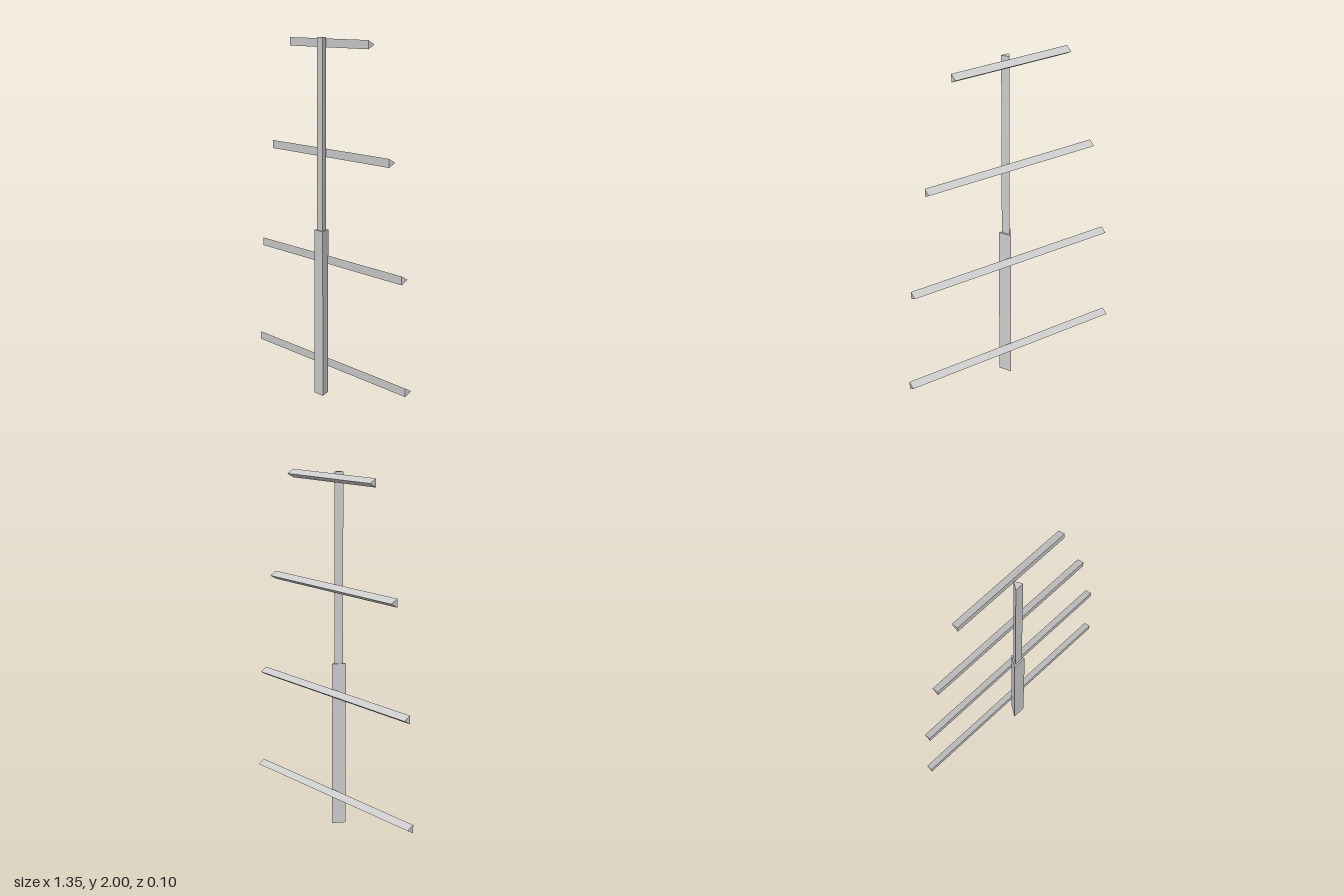
import * as THREE from 'three';

const material = new THREE.MeshStandardMaterial({ color: 0xcccccc, flatShading: true });

// Triangular bar along y: one edge points to the back, one flat side to the front
function triangularBar(name, radius, length) {
  const geometry = new THREE.CylinderGeometry(radius, radius, length, 3, 1, false, Math.PI);
  const mesh = new THREE.Mesh(geometry, material);
  mesh.name = name;
  return mesh;
}

export function createModel() {
  const group = new THREE.Group();
  group.name = 'mastWithCrossbars';

  // Thick lower mast and thin upper mast on one axis
  const split = 0.943, mastZ = 0.028;
  const lower = triangularBar('lowerMast', 0.045, split);
  lower.position.set(0, split / 2, mastZ);
  const upper = triangularBar('upperMast', 0.028, 2 - split);
  upper.position.set(0, (2 + split) / 2, mastZ);
  group.add(lower, upper);

  // Crossbars behind the mast, shorter towards the top: [height, length]
  const bars = [[0.18, 1.35], [0.772, 1.274], [1.37, 1.054], [1.968, 0.704]];
  bars.forEach(([y, length], i) => {
    const bar = triangularBar(`crossbar${i + 1}`, 0.027, length);
    bar.rotation.z = Math.PI / 2;
    bar.position.set(0, y, -0.024);
    group.add(bar);
  });

  return group;
}
